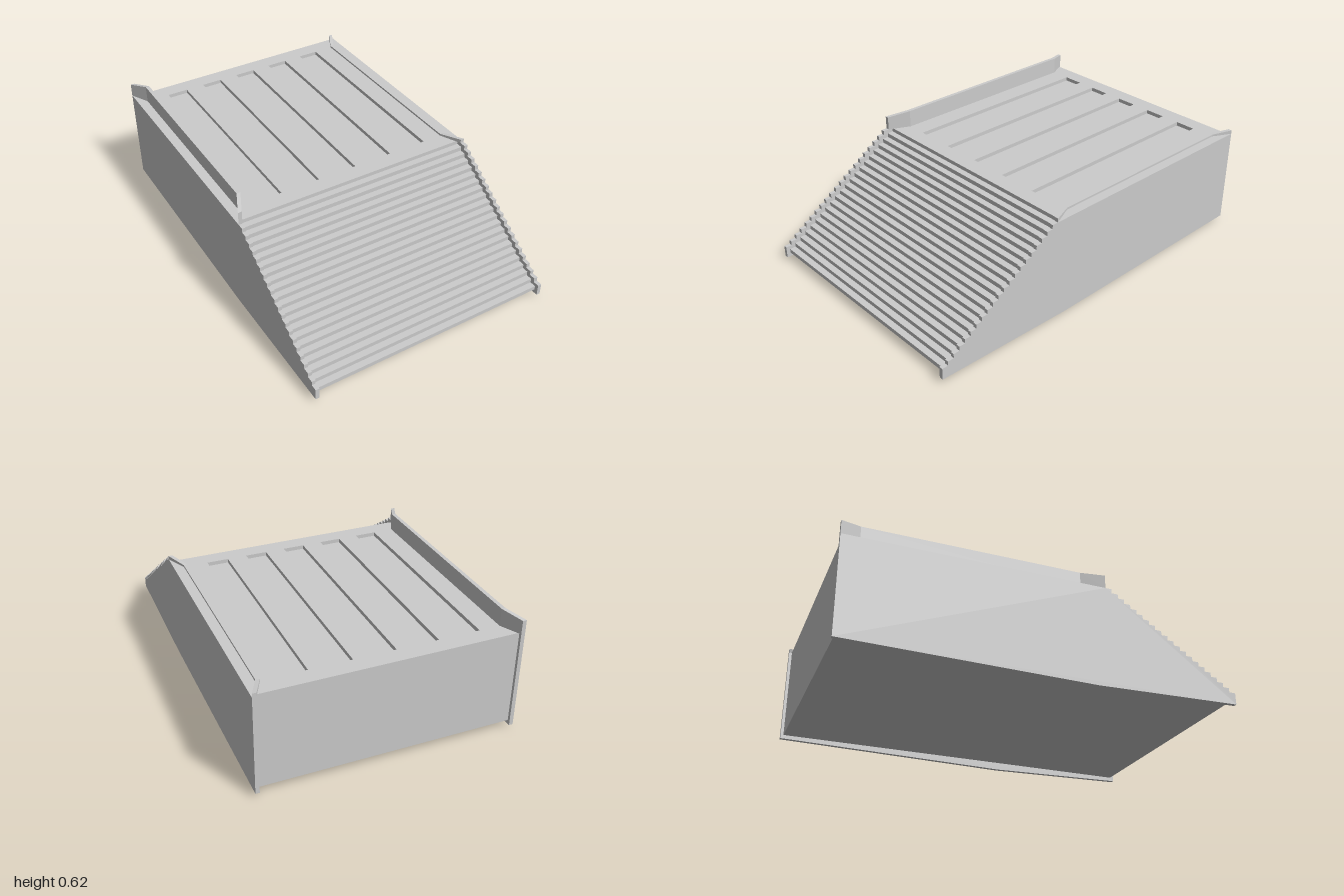
import * as THREE from 'three';

const material = new THREE.MeshStandardMaterial({ color: 0xcccccc, flatShading: true });
const DECK = 0.53;
const BACK = -0.985;

function mesh(geometry, name) {
  const m = new THREE.Mesh(geometry, material);
  m.name = name;
  return m;
}

const shapeOf = (pts) => new THREE.Shape(pts.map(([a, b]) => new THREE.Vector2(a, b)));

// Side profile given as (z, y), extruded across x from x0 to x1
function acrossX(pts, x0, x1) {
  return new THREE.ExtrudeGeometry(shapeOf(pts), { depth: x1 - x0, bevelEnabled: false })
    .rotateY(-Math.PI / 2)
    .translate(x1, 0, 0);
}

// Plan shape given as (x, -z), extruded upward from y = 0
function upward(shape, depth) {
  return new THREE.ExtrudeGeometry(shape, { depth, bevelEnabled: false }).rotateX(-Math.PI / 2);
}

// Adds treads climbing from (z0, y0); each is followed by a riser except the last
function addTreads(pts, z0, y0, z1, y1, count) {
  for (let i = 0; i < count; i++) {
    const y = y0 + ((y1 - y0) * i) / (count - 1);
    pts.push([z0 + ((z1 - z0) * i) / count, y], [z0 + ((z1 - z0) * (i + 1)) / count, y]);
  }
}

export function createModel() {
  const group = new THREE.Group();

  // Solid block with the ribbed front slope
  const body = [[BACK, 0.04], [0.98, 0.04]];
  addTreads(body, 0.98, 0.062, 0.285, 0.51, 21);
  body.push([BACK, 0.51]);
  group.add(mesh(acrossX(body, -0.63, 0.63), 'steppedBody'));

  // Deck slab with five long recesses
  const deck = shapeOf([[-0.63, -0.285], [0.63, -0.285], [0.63, -BACK], [-0.63, -BACK]]);
  for (let i = -2; i <= 2; i++) {
    const x = i * 0.21, w = 0.055;
    deck.holes.push(new THREE.Path([
      new THREE.Vector2(x - w, -0.2), new THREE.Vector2(x - w, 0.9),
      new THREE.Vector2(x + w, 0.9), new THREE.Vector2(x + w, -0.2),
    ]));
  }
  group.add(mesh(upward(deck, 0.02).translate(0, 0.51, 0), 'deck'));

  // Side plates with a stepped slope and a slightly bowed lower edge
  const plate = [[-1, 0.02], [0.25, 0], [1, 0.02]];
  addTreads(plate, 1, 0.08, 0.31, DECK, 21);
  plate.push([-1, DECK]);
  group.add(mesh(acrossX(plate, 0.63, 0.65), 'leftSidePlate'));
  group.add(mesh(acrossX(plate, -0.65, -0.63), 'rightSidePlate'));

  // Deck rails, bent inward from both ends; the ends have their own height
  function rail(side, endHeight, midHeight, name) {
    const plan = [
      [0.65, -0.31], [0.6, -0.2], [0.6, 0.9], [0.65, 1],
      [0.63, 1], [0.58, 0.9], [0.58, -0.2], [0.63, -0.31],
    ].map(([x, y]) => [x * side, y]);
    const geometry = upward(shapeOf(plan), 1);
    const p = geometry.attributes.position;
    for (let i = 0; i < p.count; i++) {
      const h = Math.abs(p.getX(i)) > 0.62 ? endHeight : midHeight;
      p.setY(i, DECK + p.getY(i) * h);
    }
    geometry.computeVertexNormals();
    group.add(mesh(geometry, name));
  }
  rail(1, 0.02, 0.01, 'leftLowRail');
  rail(-1, 0.07, 0.09, 'rightTallRail');

  return group;
}
